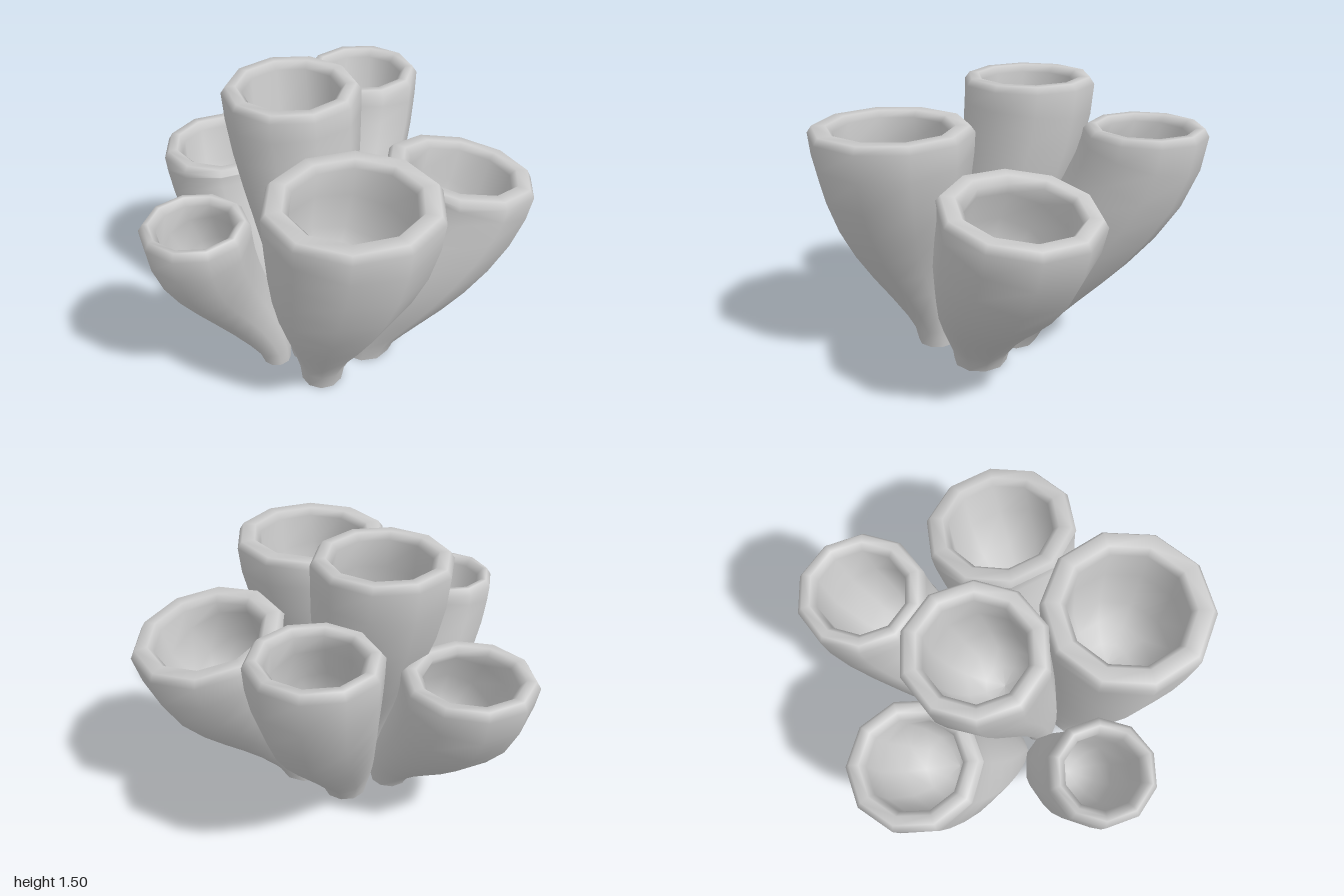
import * as THREE from 'three';

const SIDES = 10;
const UP = new THREE.Vector3(0, 1, 0);
const ease = (t, power) => {
  const u = Math.pow(t, power);
  return u * u * (3 - 2 * u);
};

// base and top are [x, z]; r0 and r1 the radii there; turn rotates the ring corners;
// swell is how late the tube widens (lower is earlier);
// bow pushes the middle sideways and lean tips the mouth, both towards [x, z]
const TUBES = [
  { name: 'frontTube', base: [-0.15, 0.37], top: [0.003, 0.575], r0: 0.11, r1: 0.425, height: 1.31, turn: -5, swell: 0.83, bow: [-0.03, 0.03], lean: [0, 0] },
  { name: 'leftTube', base: [0.1, 0.145], top: [0.6, -0.02], r0: 0.145, r1: 0.402, height: 1.07, turn: 25, swell: 0.77, bow: [-0.03, 0.05], lean: [0.17, -0.1] },
  { name: 'centreTube', base: [-0.228, 0.183], top: [-0.257, -0.155], r0: 0.085, r1: 0.35, height: 1.5, turn: 18, swell: 0.75, bow: [0.03, 0.01], lean: [0, 0] },
  { name: 'backTube', base: [-0.105, -0.065], top: [0.135, -0.7], r0: 0.12, r1: 0.315, height: 1.31, turn: 18, swell: 0.6, bow: [0.01, 0.02], lean: [0, 0] },
  { name: 'backRightTube', base: [-0.375, 0], top: [-0.645, -0.475], r0: 0.107, r1: 0.335, height: 1, turn: 0, swell: 0.75, bow: [-0.02, 0.03], lean: [0, 0] },
  { name: 'frontRightTube', base: [-0.396, 0.218], top: [-0.732, 0.42], r0: 0.078, r1: 0.263, height: 1.1, turn: 18, swell: 0.7, bow: [-0.02, -0.06], lean: [0, 0] },
];

// Point on the S-shaped axis of a tube
function axisPoint({ base, top, height, bow }, t) {
  const k = ease(t, 0.88);
  const bump = Math.sin(Math.PI * t) ** 2;
  return new THREE.Vector3(
    base[0] + (top[0] - base[0]) * k + bow[0] * bump,
    height * t,
    base[1] + (top[1] - base[1]) * k + bow[1] * bump
  );
}

// Direction a ring faces: along the axis, tipped by the lean near the mouth
function axisDirection(tube, t) {
  const a = axisPoint(tube, Math.max(0, t - 0.01));
  const b = axisPoint(tube, Math.min(1, t + 0.01));
  const dir = b.sub(a);
  dir.divideScalar(dir.y);
  const fade = Math.min(1, t * 8) * Math.min(1, (1 - t) * 8);
  const [lx, lz] = tube.lean;
  return new THREE.Vector3(dir.x * fade + lx * t * t, 1, dir.z * fade + lz * t * t).normalize();
}

function tubeGeometry(tube) {
  const { r0, r1, height, turn, swell } = tube;
  const radius = (t) => r0 + (r1 - r0) * ease(t, swell);
  const lip = 0.035 / height;
  const inner = r1 * 0.7;

  // Profile as [t, radius]: outer wall, rounded lip, then down into the cup
  const profile = [
    ...[0, 0.08, 0.18, 0.3, 0.42, 0.54, 0.66, 0.78, 0.89].map((t) => [t, radius(t)]),
    [1 - lip, r1],
    [1, r1 - 0.025],
    [1, inner + 0.03],
    [1 - lip, inner],
    [0.85, inner * 1.02],
    [0.7, inner * 0.93],
    [0.61, inner * 0.72],
    [0.565, inner * 0.4],
    [0.55, 0.001],
  ];

  const positions = [];
  const indices = [];
  const addRing = (t, r) => {
    const centre = axisPoint(tube, t);
    const tilt = new THREE.Quaternion().setFromUnitVectors(UP, axisDirection(tube, t));
    for (let i = 0; i < SIDES; i++) {
      const a = THREE.MathUtils.degToRad(turn) + (i / SIDES) * Math.PI * 2;
      const p = new THREE.Vector3(Math.sin(a) * r, 0, Math.cos(a) * r);
      positions.push(...p.applyQuaternion(tilt).add(centre).toArray());
    }
  };

  profile.forEach(([t, r], j) => {
    addRing(t, r);
    if (j === 0) return;
    for (let i = 0; i < SIDES; i++) {
      const n = (i + 1) % SIDES;
      const a = (j - 1) * SIDES + i;
      const b = (j - 1) * SIDES + n;
      indices.push(a, b, b + SIDES, a, b + SIDES, a + SIDES);
    }
  });

  // Flat foot with its own corners so its edge stays sharp
  const foot = positions.length / 3;
  addRing(0, r0);
  for (let i = 1; i < SIDES - 1; i++) indices.push(foot, foot + i + 1, foot + i);

  const geometry = new THREE.BufferGeometry();
  geometry.setAttribute('position', new THREE.Float32BufferAttribute(positions, 3));
  geometry.setIndex(indices);
  geometry.computeVertexNormals();
  return geometry;
}

export function createModel() {
  const group = new THREE.Group();
  group.name = 'tubeCluster';
  const material = new THREE.MeshStandardMaterial({ color: 0xcccccc });
  for (const tube of TUBES) {
    const mesh = new THREE.Mesh(tubeGeometry(tube), material);
    mesh.name = tube.name;
    group.add(mesh);
  }
  return group;
}
